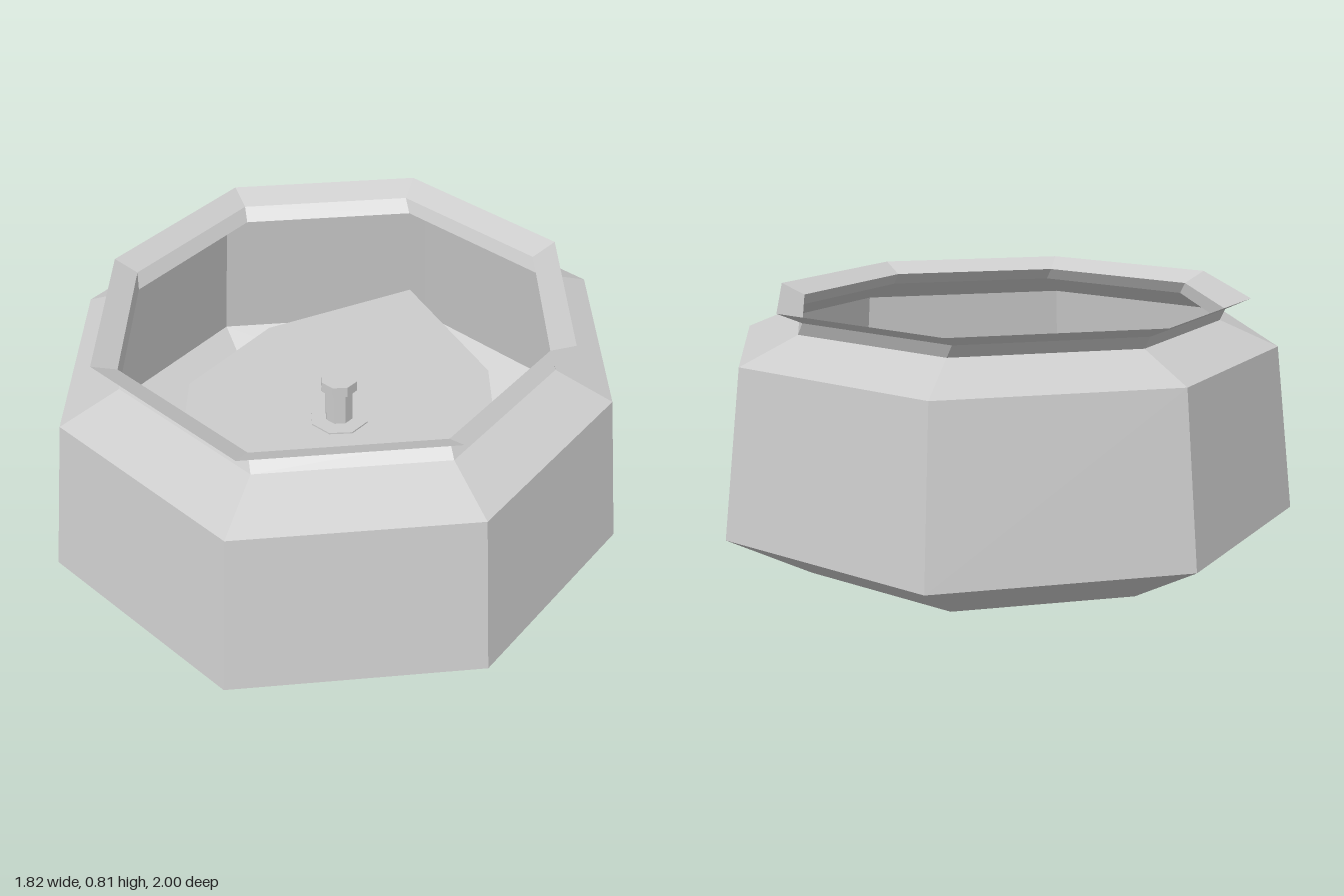
import * as THREE from 'three';

const stoneGrey = new THREE.MeshStandardMaterial({ color: 0xcccccc, side: THREE.DoubleSide, flatShading: true });
stoneGrey.name = 'stoneGrey';

// Eight-sided ring, narrower in x than in z, starting at the front corner
function ring(k, y, dx = 0, dz = 0, tip = k) {
  const d = 0.68 * k, w = 0.91 * k;
  return [[0, tip], [d, d], [w, 0], [d, -d], [0, -tip], [-d, -d], [-w, 0], [-d, d]]
    .map(([x, z]) => [x + dx, y, z + dz]);
}

// Faceted surface through successive rings
function loft(name, rings) {
  const pos = [];
  for (let r = 0; r < rings.length - 1; r++) {
    const lo = rings[r], hi = rings[r + 1];
    for (let i = 0; i < 8; i++) {
      const j = (i + 1) % 8;
      pos.push(...lo[i], ...lo[j], ...hi[j], ...lo[i], ...hi[j], ...hi[i]);
    }
  }
  const geo = new THREE.BufferGeometry();
  geo.setAttribute('position', new THREE.Float32BufferAttribute(pos, 3));
  geo.computeVertexNormals();
  const mesh = new THREE.Mesh(geo, stoneGrey);
  mesh.name = name;
  return mesh;
}

function cylinder(name, rTop, rBottom, y0, y1) {
  const geo = new THREE.CylinderGeometry(rTop, rBottom, y1 - y0, 8);
  const mesh = new THREE.Mesh(geo, stoneGrey);
  mesh.name = name;
  mesh.position.set(0.002, (y0 + y1) / 2, 0.01);
  return mesh;
}

export function createModel() {
  const model = new THREE.Group();
  model.name = 'basin';
  const dx = -0.022, dz = -0.034; // the mouth sits slightly off centre

  // Thin shell: pierced base, bevel, wall and shoulder
  model.add(loft('bowlShell', [
    ring(0.17, 0), ring(0.72, 0), ring(1, 0.15), ring(0.935, 0.655), ring(0.74, 0.73),
  ]));

  // Leaning neck and flared rim
  model.add(loft('neck', [ring(0.74, 0.73), ring(0.735, 0.77, dx, dz)]));
  model.add(loft('rim', [ring(0.735, 0.77, dx, dz), ring(0.818, 0.805, dx, dz)]));

  // Drain tube from the hole in the base up to the floor
  model.add(loft('drainTube', [ring(0.17, 0.385), ring(0.17, 0)]));

  // Raised floor plate, drawn out to points at the front and back
  model.add(loft('floorPlate', [ring(0.573, 0.395, 0, 0, 0.78), ring(0.09, 0.395), ring(0.001, 0.395)]));

  // Central knob
  model.add(cylinder('knobCollar', 0.095, 0.095, 0.392, 0.4));
  model.add(cylinder('knobStem', 0.045, 0.045, 0.395, 0.52));
  model.add(cylinder('knobCap', 0.06, 0.06, 0.515, 0.55));
  return model;
}
